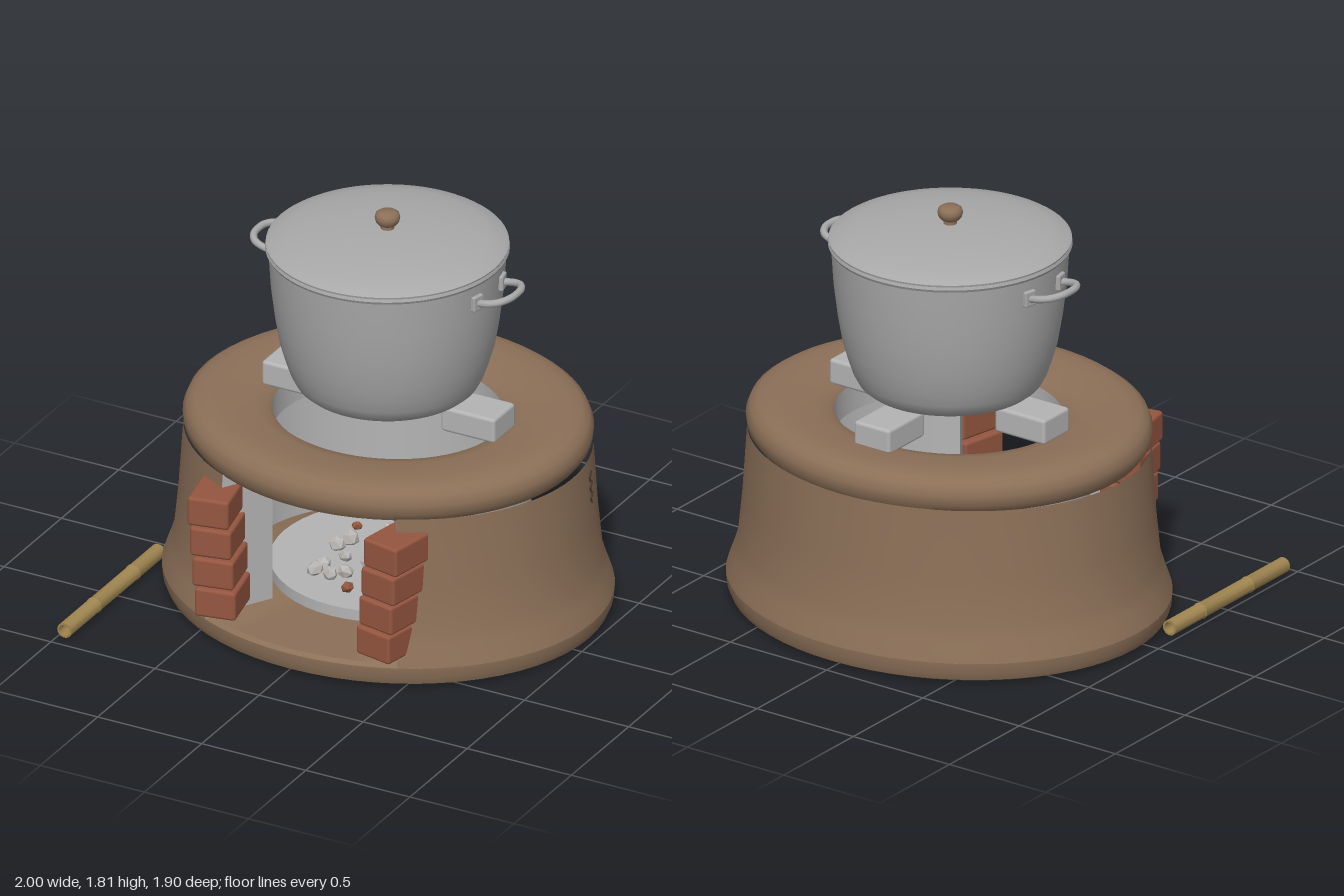
import * as THREE from 'three';
import { toCreasedNormals } from 'three/addons/utils/BufferGeometryUtils.js';
import { RoundedBoxGeometry } from 'three/addons/geometries/RoundedBoxGeometry.js';

const mat = (name, color, side = THREE.FrontSide) => {
  const m = new THREE.MeshStandardMaterial({ color, side });
  m.name = name;
  return m;
};

export function createModel() {
  const clay = mat('clay', 0x8c7058);
  const lining = mat('ash grey lining', 0xb4b4b4, THREE.DoubleSide);
  const metal = mat('aluminium', 0xa9a9a9);
  const brickRed = mat('brick red', 0x955640);
  const bamboo = mat('bamboo', 0x9f8550);
  const dark = mat('dark crack', 0x4a3b30);
  const coalGrey = mat('coal ash', 0xb8b5b2);
  coalGrey.flatShading = true;

  const model = new THREE.Group();
  const stove = new THREE.Group();
  stove.name = 'stove';
  stove.position.set(0.02, 0, -0.092);
  model.add(stove);

  const add = (parent, name, geo, material, x = 0, y = 0, z = 0) => {
    const m = new THREE.Mesh(geo, material);
    m.name = name;
    m.position.set(x, y, z);
    parent.add(m);
    return m;
  };
  const vec = (pts) => pts.map(([r, y]) => new THREE.Vector2(r, y));
  const lathe = (pts, { seg = 64, start = 0, length = Math.PI * 2, zScale = 1, crease = 0.7 } = {}) =>
    toCreasedNormals(new THREE.LatheGeometry(vec(pts), seg, start, length).scale(1, 1, zScale), crease);

  // Oval clay body with a wedge-shaped fire door at the front
  const oval = 0.878, door = 0.49;
  const outer = [[0.98, 0.095], [0.972, 0.12], [0.95, 0.18], [0.928, 0.25], [0.908, 0.45], [0.887, 0.76]];
  const inner = [[0.62, 0.76], [0.62, 0.1]];
  const ring = { start: door, length: 2 * (Math.PI - door), zScale: oval };
  add(stove, 'base', lathe([[0, 0], [0.93, 0], [0.962, 0.015], [0.977, 0.05], [0.98, 0.095], [0.96, 0.11], [0, 0.11]],
    { zScale: oval }), clay);
  add(stove, 'bodyWall', lathe(outer, ring), clay);
  add(stove, 'firebox', lathe(inner, ring), lining);
  for (const phi of [door, -door]) {
    const jamb = new THREE.ShapeGeometry(new THREE.Shape(vec([...outer, ...inner])));
    jamb.rotateY(phi - Math.PI / 2).scale(1, 1, oval);
    add(stove, 'doorJamb', jamb, lining);
  }

  // Rounded top rim around the fire hole
  add(stove, 'topRim', lathe([[0.5, 0.735], [0.8, 0.735], [0.855, 0.75], [0.88, 0.785], [0.885, 0.83], [0.868, 0.87],
    [0.835, 0.893], [0.78, 0.903], [0.7, 0.902], [0.58, 0.89], [0.52, 0.878], [0.5, 0.86]], { zScale: 0.905 }), clay);
  add(stove, 'fireHoleLining', lathe([[0.5, 0.86], [0.5, 0.735]], { zScale: 0.905 }), lining);

  // Hairline crack on the left side
  for (let i = 0; i < 6; i++) {
    const c = add(stove, 'crack', new THREE.BoxGeometry(0.008, 0.028, 0.005), dark,
      0.878 - i * -0.0016, 0.7 - i * 0.024, -0.17 + (i % 2) * 0.008);
    c.rotation.x = i % 2 ? 0.35 : -0.35;
  }

  // Ash bed with coals
  add(stove, 'ashBed', new THREE.CylinderGeometry(0.5, 0.5, 0.05, 48), lining, 0, 0.135, 0);
  let seed = 7;
  const rnd = () => (seed = (seed * 16807) % 2147483647) / 2147483647;
  for (let i = 0; i < 24; i++) {
    const a = rnd() * Math.PI * 2, r = 0.32 * Math.sqrt(rnd());
    const c = add(stove, 'coal', new THREE.IcosahedronGeometry(0.025 + rnd() * 0.018, 0), i % 5 === 0 ? brickRed : coalGrey,
      r * Math.sin(a), 0.18, 0.05 + r * Math.cos(a));
    c.rotation.set(rnd() * 3, rnd() * 3, rnd() * 3);
    c.scale.y = 0.8;
  }

  // Three pot supports
  for (const a of [Math.PI / 2, Math.PI, -Math.PI / 2]) {
    const s = add(stove, 'potSupport', new RoundedBoxGeometry(0.185, 0.115, 0.26, 2, 0.015), lining,
      0.43 * Math.sin(a), 0.935, 0.43 * Math.cos(a));
    s.rotation.y = a;
  }

  // Brick stacks either side of the door
  for (const s of [-1, 1]) for (let i = 0; i < 4; i++) {
    const b = add(model, 'brick', new RoundedBoxGeometry(0.182, 0.133, 0.22, 2, 0.014), brickRed,
      0.015 + s * (0.4 + i * 0.0115), 0.21 + i * 0.141, 0.62);
    b.rotation.y = -s * 0.2;
  }

  // Cooking pot
  const pot = new THREE.Group();
  pot.name = 'pot';
  pot.position.set(0.018, 0, -0.088);
  model.add(pot);
  add(pot, 'potBody', lathe([[0, 0.99], [0.33, 0.99], [0.365, 0.997], [0.39, 1.018], [0.412, 1.06], [0.432, 1.12],
    [0.455, 1.2], [0.475, 1.32], [0.492, 1.46], [0.503, 1.63]]), metal);
  add(pot, 'potRim', lathe([[0.498, 1.625], [0.51, 1.628], [0.516, 1.64], [0.512, 1.652], [0.49, 1.656]]), metal);
  add(pot, 'lid', lathe([[0.49, 1.65], [0.511, 1.652], [0.513, 1.661], [0.5, 1.67], [0.43, 1.689], [0.33, 1.707],
    [0.2, 1.72], [0.1, 1.725], [0, 1.727]]), metal);
  add(pot, 'lidKnob', lathe([[0.03, 1.715], [0.028, 1.74], [0.04, 1.747], [0.05, 1.76], [0.054, 1.777], [0.05, 1.794],
    [0.038, 1.803], [0, 1.806]], { seg: 24, crease: 1 }), clay);

  // Pot handles with mounting plates
  for (const s of [-1, 1]) {
    const path = new THREE.CatmullRomCurve3([[0.49, 1.542, -0.11], [0.54, 1.552, -0.112], [0.585, 1.561, -0.095],
      [0.614, 1.567, -0.05], [0.62, 1.568, 0], [0.614, 1.567, 0.05], [0.585, 1.561, 0.095], [0.54, 1.552, 0.112],
      [0.49, 1.542, 0.11]].map(([x, y, z]) => new THREE.Vector3(s * x, y, z)));
    add(pot, 'handle', new THREE.TubeGeometry(path, 40, 0.016, 10), metal);
    for (const z of [-0.11, 0.11]) {
      const plate = add(pot, 'handlePlate', new RoundedBoxGeometry(0.03, 0.07, 0.06, 2, 0.007), metal, s * 0.488, 1.545, z);
      plate.rotation.y = -s * Math.sign(z) * 0.22;
    }
  }

  // Hollow bamboo blowpipe lying on the ground
  const pipe = add(model, 'bambooPipe', lathe([[0.025, 0.13], [0.034, 0.13], [0.034, 0.343], [0.037, 0.35], [0.034, 0.357],
    [0.034, 0.683], [0.037, 0.69], [0.034, 0.697], [0.034, 0.95], [0.025, 0.95], [0.025, 0.13]],
    { seg: 24, crease: 0.5 }), bamboo, -0.963, 0.04, 0);
  pipe.rotation.x = Math.PI / 2;

  return model;
}
